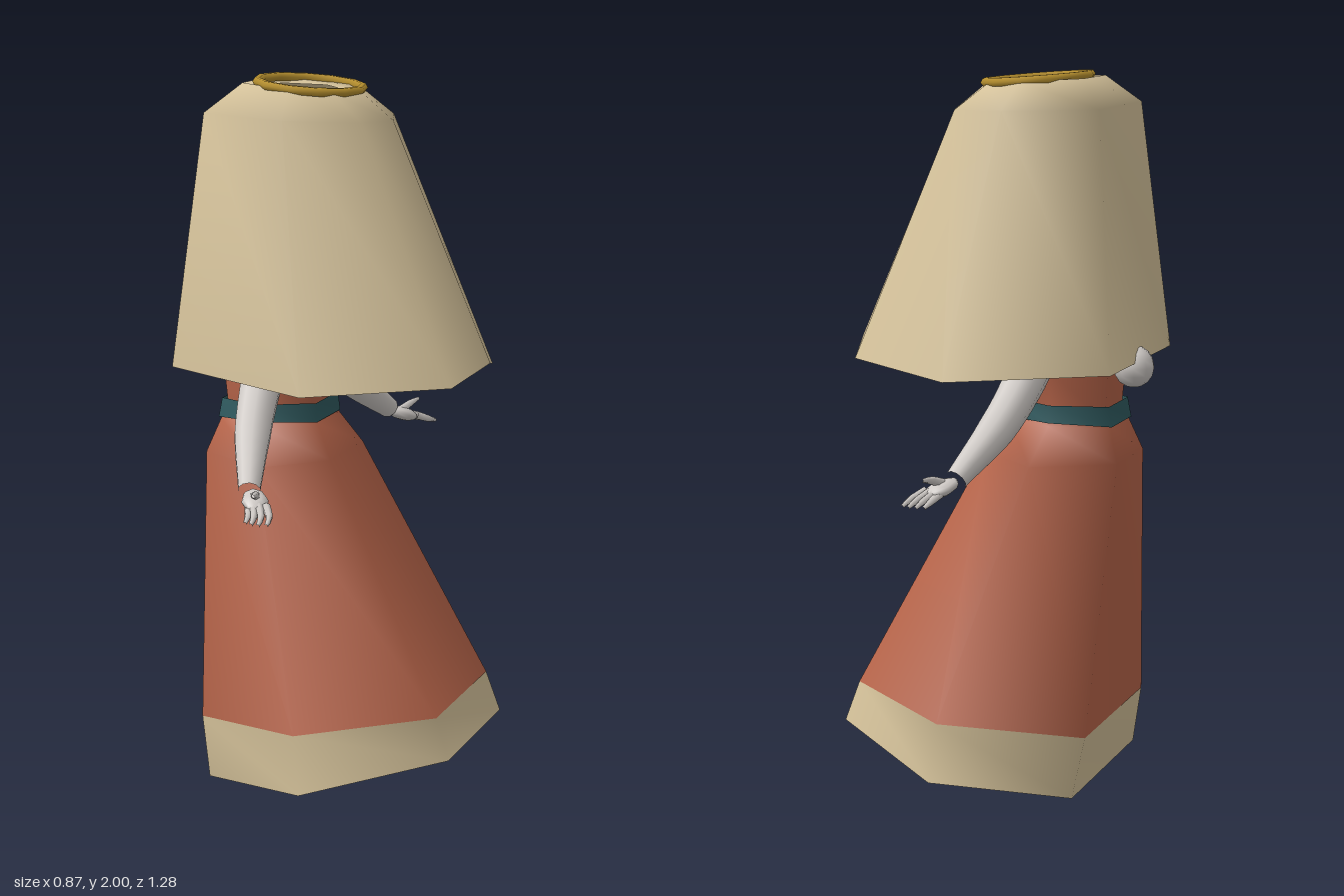
import * as THREE from 'three';

const mat = (name, color, side = THREE.FrontSide) => {
  const m = new THREE.MeshStandardMaterial({ color, side });
  m.name = name;
  return m;
};

// Mirror half a cross-section, listed back to front, across z = 0
const ring = (half) => half.concat(
  half.filter((p) => p[2] !== 0).reverse().map(([x, y, z]) => [x, y, -z]));

// Smooth skin through rings listed from bottom to top
function loft(halves) {
  const rings = halves.map(ring), n = rings[0].length, index = [];
  for (let i = 0; i < rings.length - 1; i++) {
    for (let j = 0; j < n; j++) {
      const a = i * n + j, b = i * n + (j + 1) % n;
      index.push(a, b, a + n, b, b + n, a + n);
    }
  }
  const g = new THREE.BufferGeometry();
  g.setAttribute('position', new THREE.Float32BufferAttribute(rings.flat(2), 3));
  g.setIndex(index);
  g.computeVertexNormals();
  return g;
}

// Lid on one ring, facing up or down
function lid(half, up) {
  const pts = ring(half), index = [];
  for (let j = 1; j < pts.length - 1; j++) index.push(0, up ? j : j + 1, up ? j + 1 : j);
  const g = new THREE.BufferGeometry();
  g.setAttribute('position', new THREE.Float32BufferAttribute(pts.flat(), 3));
  g.setIndex(index);
  g.computeVertexNormals();
  return g;
}

// Round limb along a curve, with a radius for each point
function limb(points, radii, steps = 10, sides = 8) {
  const curve = new THREE.CatmullRomCurve3(points.map((p) => new THREE.Vector3(...p)));
  const g = new THREE.TubeGeometry(curve, steps, 1, sides);
  const pos = g.attributes.position, v = new THREE.Vector3();
  for (let i = 0; i <= steps; i++) {
    const c = curve.getPointAt(i / steps);
    const t = (i / steps) * (radii.length - 1), k = Math.min(Math.floor(t), radii.length - 2);
    const r = THREE.MathUtils.lerp(radii[k], radii[k + 1], t - k);
    for (let j = 0; j <= sides; j++) {
      const id = i * (sides + 1) + j;
      v.fromBufferAttribute(pos, id).sub(c).multiplyScalar(r).add(c);
      pos.setXYZ(id, v.x, v.y, v.z);
    }
  }
  return g;
}

export function createModel() {
  const model = new THREE.Group();
  model.name = 'lampshadeLady';
  const cream = mat('cream', 0xd6c39b, THREE.DoubleSide);
  const red = mat('brickRed', 0xb8654a, THREE.DoubleSide);
  const teal = mat('darkTeal', 0x2f5a5f, THREE.DoubleSide);
  const gold = mat('gold', 0xb8912f);
  const pale = mat('paleGrey', 0xcfcac6);
  const add = (name, geometry, material, parent = model) => {
    const m = new THREE.Mesh(geometry, material);
    m.name = name;
    parent.add(m);
    return m;
  };

  // Lampshade with a turned-in lip and gold top ring
  add('lampshade', loft([
    [[-0.4, 1.22, 0.265], [0.03, 1.195, 0.385], [0.38, 1.205, 0.17], [0.43, 1.245, 0]],
    [[-0.335, 1.91, 0.18], [-0.08, 1.905, 0.235], [0.1, 1.895, 0.12], [0.145, 1.89, 0]],
    [[-0.26, 1.985, 0.09], [-0.1, 1.977, 0.15], [0.01, 1.967, 0.1], [0.05, 1.965, 0]],
    [[-0.21, 1.972, 0.06], [-0.1, 1.965, 0.12], [-0.01, 1.957, 0.07], [0.005, 1.955, 0]],
  ]), cream);
  const torus = new THREE.TorusGeometry(0.146, 0.013, 6, 12);
  const rim = add('shadeRing', torus.rotateX(Math.PI / 2).rotateZ(-0.08), gold);
  rim.position.set(-0.098, 1.978, 0);

  // Tilted skirt with a pale hem and closed underside
  const hem = [[-0.3, 0.04, 0.27], [0.05, 0.1, 0.45], [0.4, 0.17, 0.22]];
  const seam = [[-0.33, 0.21, 0.25], [0.03, 0.265, 0.437], [0.36, 0.285, 0.21]];
  add('skirt', loft([
    seam,
    [[-0.37, 0.95, 0.115], [-0.16, 0.95, 0.235], [0.01, 0.96, 0.12]],
    [[-0.34, 1.04, 0.08], [-0.19, 1.05, 0.16], [-0.045, 1.05, 0.08]],
    [[-0.33, 1.07, 0.075], [-0.19, 1.07, 0.15], [-0.06, 1.07, 0.075]],
  ]), red);
  add('hem', loft([hem, seam]), cream);
  add('skirtUnderside', lid(hem, false), cream);

  // Bodice, belt, collar and neck
  add('bodice', loft([
    [[-0.32, 1.06, 0.07], [-0.19, 1.06, 0.145], [-0.07, 1.06, 0.07]],
    [[-0.33, 1.2, 0.08], [-0.19, 1.2, 0.15], [-0.06, 1.2, 0.085]],
    [[-0.32, 1.29, 0.1], [-0.17, 1.29, 0.175], [-0.005, 1.28, 0.1]],
    [[-0.28, 1.37, 0.09], [-0.17, 1.37, 0.155], [-0.035, 1.36, 0.08]],
    [[-0.24, 1.41, 0.06], [-0.16, 1.41, 0.1], [-0.07, 1.4, 0.055]],
  ]), red);
  add('belt', loft([
    [[-0.345, 1.045, 0.085], [-0.19, 1.06, 0.165], [-0.045, 1.055, 0.085]],
    [[-0.335, 1.1, 0.082], [-0.19, 1.108, 0.16], [-0.05, 1.108, 0.08]],
  ]), teal);
  add('collar', loft([
    [[-0.25, 1.38, 0.075], [-0.16, 1.38, 0.125], [-0.045, 1.375, 0.07]],
    [[-0.235, 1.42, 0.06], [-0.16, 1.42, 0.1], [-0.065, 1.415, 0.055]],
  ]), teal);
  add('neckOpening', lid(
    [[-0.235, 1.415, 0.06], [-0.16, 1.415, 0.1], [-0.065, 1.41, 0.055]], true), cream);

  // Hair bun hanging below the back of the shade
  const bun = add('hairBun', new THREE.SphereGeometry(0.058, 10, 8), pale);
  bun.position.set(-0.38, 1.203, -0.005);
  add('hairLock', limb(
    [[-0.365, 1.2, 0], [-0.325, 1.27, 0], [-0.29, 1.36, 0]], [0.05, 0.05, 0.04]), pale);

  // Arms, hands and shoes, mirrored
  for (const s of [1, -1]) {
    const side = s > 0 ? 'left' : 'right';
    const m = (p) => [p[0], p[1], p[2] * s];

    const arm = new THREE.Group();
    arm.name = side === 'left' ? 'rearSideArm' : 'frontSideArm';
    arm.name = s > 0 ? 'armPlusZ' : 'armMinusZ';
    model.add(arm);
    add('sleeveSkin', limb(
      [[-0.17, 1.33, 0.1], [-0.15, 1.2, 0.22], [-0.12, 1.085, 0.35], [-0.06, 0.965, 0.51]].map(m),
      [0.06, 0.058, 0.05, 0.03], 12, 10), pale, arm);
    const palm = add('palm', new THREE.SphereGeometry(1, 8, 6), pale, arm);
    palm.scale.set(0.036, 0.02, 0.055);
    palm.position.set(-0.03, 0.945, 0.54 * s);
    palm.lookAt(0.02, 0.915, 0.62 * s);
    for (let i = 0; i < 4; i++) {
      const x = i * 0.02;
      const bend = 0.01 * Math.sin(i * Math.PI / 3);
      add('finger', limb([
        [-0.04 + x * 0.8, 0.94, 0.555 + bend],
        [-0.025 + x, 0.922, 0.595 + bend],
        [-0.018 + x, 0.91, 0.632 + bend],
      ].map(m), [0.012, 0.01, 0.005], 4, 6), pale, arm);
    }
    add('thumb', limb(
      [[-0.035, 0.955, 0.53], [-0.015, 0.972, 0.57], [-0.005, 0.978, 0.61]].map(m),
      [0.014, 0.011, 0.005], 4, 6), pale, arm);

    // Heeled shoe rising into the skirt
    const shoe = new THREE.Group();
    shoe.name = s > 0 ? 'shoePlusZ' : 'shoeMinusZ';
    model.add(shoe);
    const upper = add('shoeUpper', limb(
      [[-0.22, 0.075, 0], [-0.12, 0.06, 0], [-0.03, 0.037, 0], [0.04, 0.04, 0], [0.08, 0.05, 0]],
      [0.02, 0.034, 0.037, 0.032, 0.012], 10, 8), cream, shoe);
    upper.scale.z = 1.75;
    const heel = add('heel', new THREE.CylinderGeometry(0.045, 0.036, 0.085, 8), cream, shoe);
    heel.position.set(-0.19, 0.0425, 0);
    const toe = add('toeCap', new THREE.SphereGeometry(0.03, 8, 6), cream, shoe);
    toe.scale.set(1, 0.75, 1.4);
    toe.position.set(0.055, 0.047, 0);
    shoe.position.z = 0.13 * s;
  }
  return model;
}
